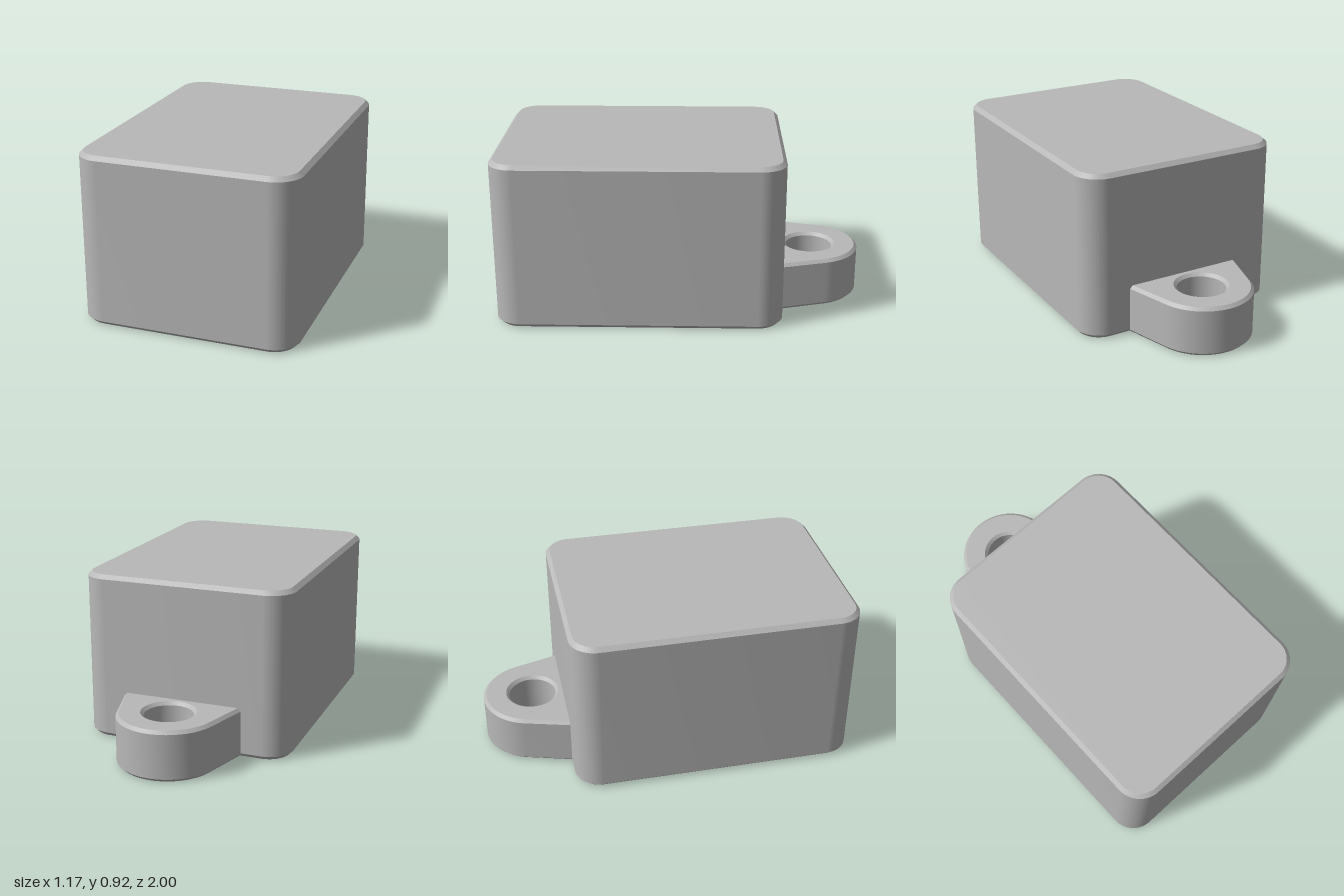
import * as THREE from 'three';
import { toCreasedNormals } from 'three/addons/utils/BufferGeometryUtils.js';

const grey = new THREE.MeshStandardMaterial({ color: 0xb8b8b8 });
grey.name = 'grey';

// Extrude a plan outline (x, -z) upward from y = 0 with chamfered rims.
function chamferedSolid(name, shape, height, chamfer) {
  const geometry = new THREE.ExtrudeGeometry(shape, {
    depth: height - 2 * chamfer,
    curveSegments: 32,
    bevelEnabled: true,
    bevelSegments: 1,
    bevelThickness: chamfer,
    bevelSize: chamfer,
    bevelOffset: -chamfer,
  });
  geometry.rotateX(-Math.PI / 2).translate(0, chamfer, 0);
  const mesh = new THREE.Mesh(toCreasedNormals(geometry, 0.5), grey);
  mesh.name = name;
  return mesh;
}

// Rectangle with rounded corners, in plan.
function roundedRectangle(halfWidth, y0, y1, r) {
  const x = halfWidth - r;
  const shape = new THREE.Shape();
  shape.absarc(x, y0 + r, r, -Math.PI / 2, 0);
  shape.absarc(x, y1 - r, r, 0, Math.PI / 2);
  shape.absarc(-x, y1 - r, r, Math.PI / 2, Math.PI);
  shape.absarc(-x, y0 + r, r, Math.PI, Math.PI * 1.5);
  shape.closePath();
  return shape;
}

// Round-ended lug whose flanks run tangent from the arc into the body.
function lugOutline(wallY, wallHalfWidth, centreY, r, holeRadius, embed) {
  const dy = wallY - centreY;
  const tangent = Math.atan2(dy, wallHalfWidth) + Math.acos(r / Math.hypot(wallHalfWidth, dy));
  const rootX = wallHalfWidth + embed * Math.tan(tangent);
  const shape = new THREE.Shape();
  shape.moveTo(-rootX, wallY - embed);
  shape.lineTo(rootX, wallY - embed);
  shape.absarc(0, centreY, r, tangent, Math.PI - tangent);
  shape.closePath();
  const hole = new THREE.Path();
  hole.absarc(0, centreY, holeRadius, 0, Math.PI * 2, true);
  shape.holes.push(hole);
  return shape;
}

export function createModel() {
  const model = new THREE.Group();
  model.name = 'blockWithLug';
  // Main block
  model.add(chamferedSolid('body', roundedRectangle(0.583, -1, 0.555, 0.14), 0.917, 0.022));
  // Rear mounting lug with a through hole
  model.add(chamferedSolid('mountingLug', lugOutline(0.555, 0.333, 0.725, 0.275, 0.13, 0.1), 0.275, 0.017));
  return model;
}
